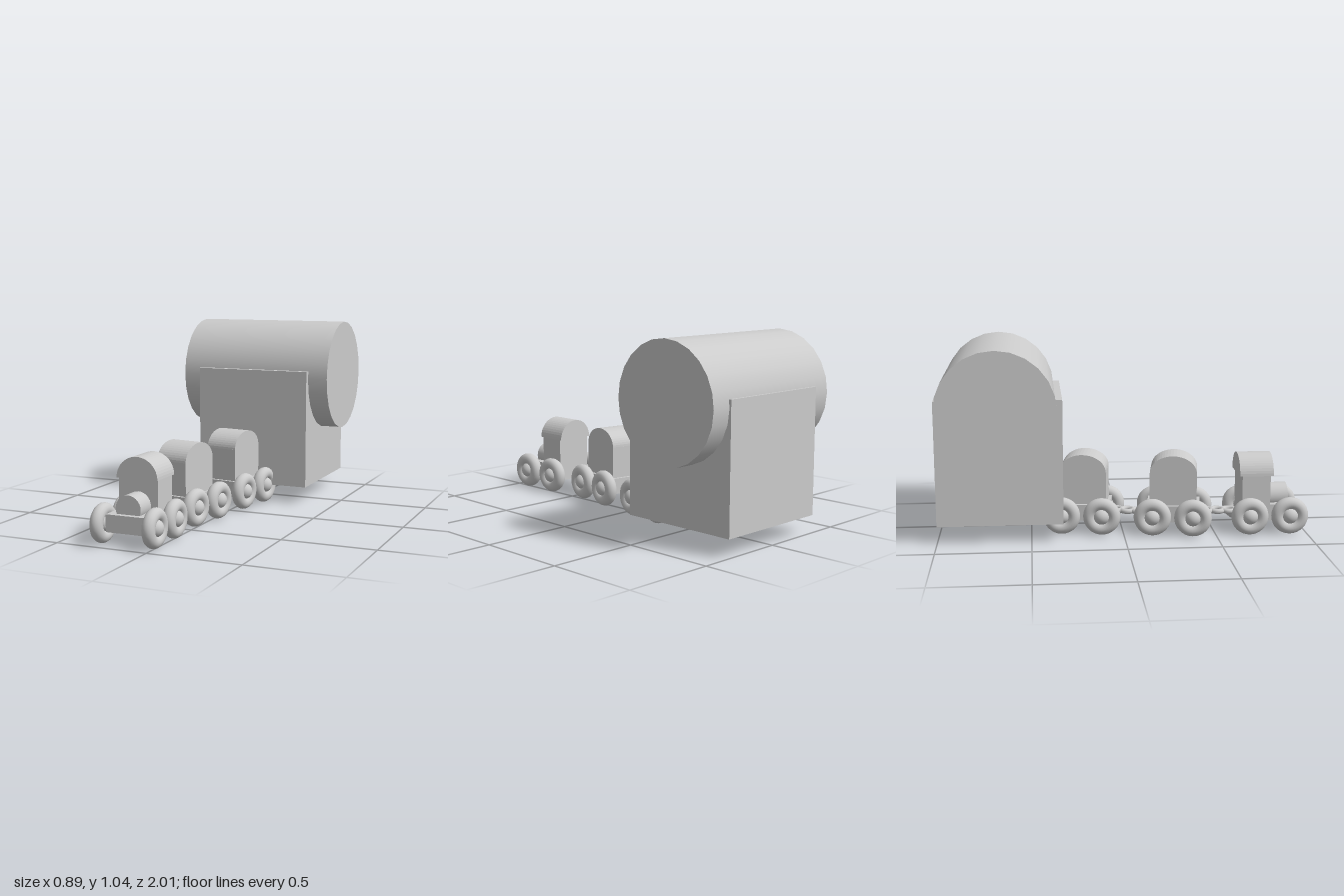
import * as THREE from 'three';

const material = new THREE.MeshStandardMaterial({ color: 0xcccccc });

function add(parent, name, geometry, x, y, z) {
  const mesh = new THREE.Mesh(geometry, material);
  mesh.name = name;
  mesh.position.set(x, y, z);
  parent.add(mesh);
  return mesh;
}

// Half-round solid, centred along its length on z, flat side on y = 0
function archGeometry(halfWidth, height, length) {
  const shape = new THREE.Shape();
  shape.moveTo(halfWidth, 0);
  shape.absellipse(0, 0, halfWidth, height, 0, Math.PI, false);
  shape.closePath();
  return new THREE.ExtrudeGeometry(shape, { depth: length, bevelEnabled: false, curveSegments: 12 })
    .translate(0, 0, -length / 2);
}

const wheelGeometry = new THREE.TorusGeometry(0.068, 0.034, 16, 32).rotateY(Math.PI / 2);
const hubGeometry = new THREE.SphereGeometry(0.046, 20, 14);
const ringGeometry = new THREE.TorusGeometry(0.034, 0.014, 10, 24).rotateX(Math.PI / 2);

// Flat bed with four wheels, shared by the engine and the wagons
function createChassis(name, x, z, angle) {
  const group = new THREE.Group();
  group.name = name;
  group.position.set(x, 0, z);
  group.rotation.y = angle;
  add(group, 'bed', new THREE.BoxGeometry(0.22, 0.09, 0.29), 0, 0.11, 0);
  for (const sx of [-1, 1]) {
    for (const sz of [-1, 1]) {
      add(group, 'wheel', wheelGeometry, sx * 0.144, 0.102, sz * 0.11);
      add(group, 'hub', hubGeometry, sx * 0.144, 0.102, sz * 0.11);
    }
  }
  return group;
}

function createEngine() {
  const engine = createChassis('engine', -0.145, 0.795, 0);
  add(engine, 'cab', new THREE.BoxGeometry(0.22, 0.17, 0.155), 0, 0.235, -0.07);
  add(engine, 'cabRoof', archGeometry(0.115, 0.112, 0.185), 0, 0.317, -0.07);
  add(engine, 'boiler', new THREE.CylinderGeometry(0.07, 0.07, 0.14, 28).rotateX(Math.PI / 2), 0, 0.183, 0.045);
  return engine;
}

function createWagon(name, x, z, angle) {
  const wagon = createChassis(name, x, z, angle);
  add(wagon, 'wagonBody', new THREE.BoxGeometry(0.185, 0.185, 0.256), 0, 0.2425, 0);
  // The arch spans the wagon from front to back
  add(wagon, 'wagonRoof', archGeometry(0.128, 0.096, 0.185), 0, 0.334, 0).rotation.y = Math.PI / 2;
  return wagon;
}

// Three flat rings between two vehicles
function createCoupling(x0, z0, x1, z1) {
  const group = new THREE.Group();
  group.name = 'coupling';
  for (let i = 0; i < 3; i++) {
    const t = i / 2;
    add(group, 'ring', ringGeometry, x0 + (x1 - x0) * t, 0.102, z0 + (z1 - z0) * t);
  }
  return group;
}

export function createModel() {
  const model = new THREE.Group();
  model.name = 'trainAndShed';

  // Shed: a block with a large barrel roof lying across it
  const shed = new THREE.Group();
  shed.name = 'shed';
  add(shed, 'shedBlock', new THREE.BoxGeometry(0.67, 0.672, 0.67), 0, 0.431, -0.665);
  add(shed, 'barrelRoof', new THREE.CylinderGeometry(0.315, 0.315, 0.895, 24).rotateZ(Math.PI / 2), 0, 0.726, -0.675);

  model.add(
    shed,
    createEngine(),
    createCoupling(-0.147, 0.593, -0.147, 0.463),
    createWagon('frontWagon', -0.137, 0.285, -0.16),
    createCoupling(-0.122, 0.095, -0.087, -0.032),
    createWagon('rearWagon', -0.065, -0.205, -0.16)
  );
  return model;
}
